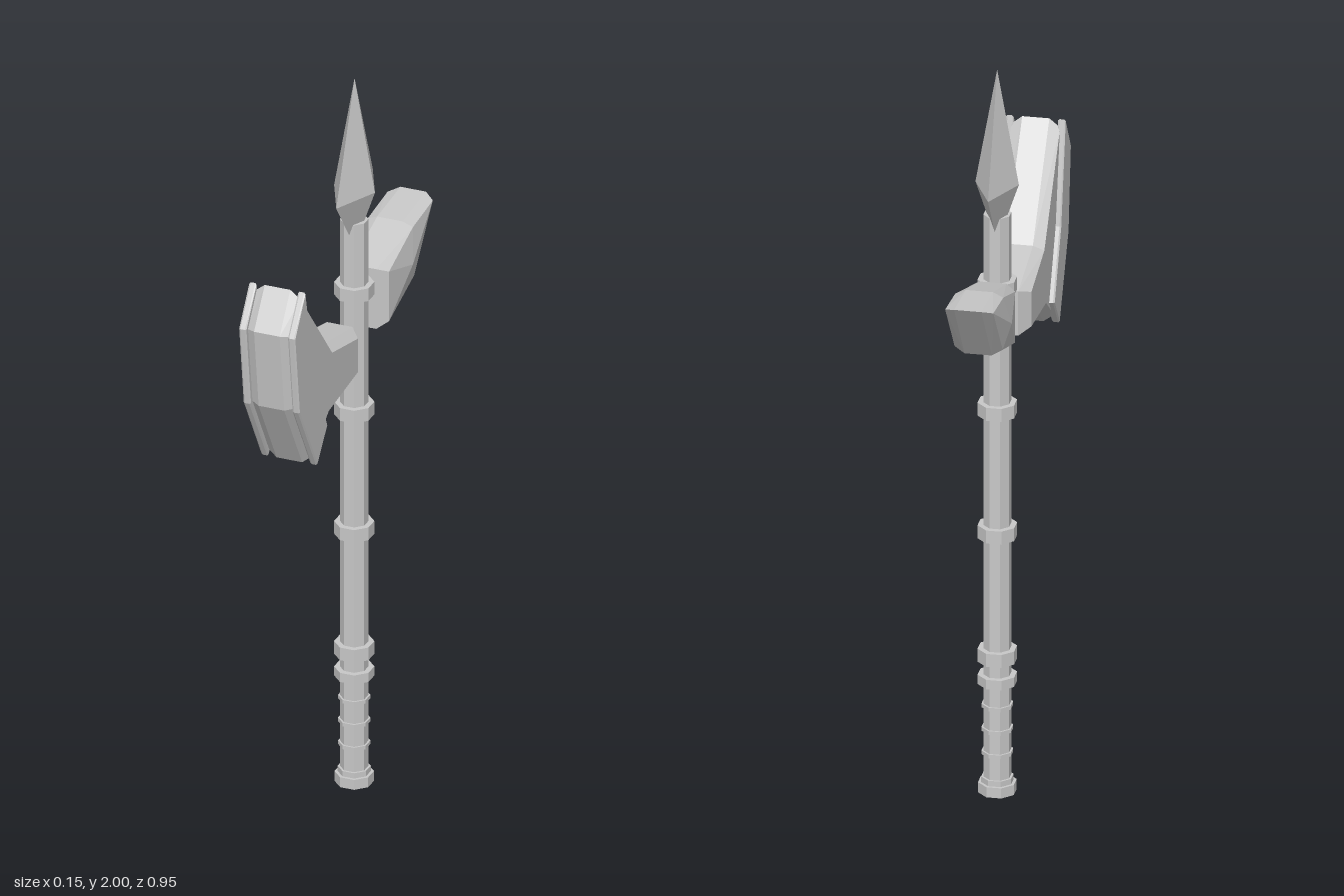
import * as THREE from 'three';
import { ConvexGeometry } from 'three/addons/geometries/ConvexGeometry.js';

const steel = new THREE.MeshStandardMaterial({ color: 0xc8c8c8, flatShading: true });
steel.name = 'light grey steel';

const POLE_Z = -0.09;

function add(parent, name, geometry) {
  const mesh = new THREE.Mesh(geometry, steel);
  mesh.name = name;
  parent.add(mesh);
  return mesh;
}

// Eight-sided band around the pole, flat side forward
function octagon(parent, name, radius, y0, y1) {
  const g = new THREE.CylinderGeometry(radius, radius, y1 - y0, 8);
  g.rotateY(Math.PI / 8);
  g.translate(0, (y0 + y1) / 2, POLE_Z);
  return add(parent, name, g);
}

// Side profile of [z, y] points, extruded across x with chamfered rims
function slab(points, x0, x1, inset, chamfer) {
  const shape = new THREE.Shape(points.map(([z, y]) => new THREE.Vector2(z, y)));
  const g = new THREE.ExtrudeGeometry(shape, {
    depth: x1 - x0 - 2 * chamfer, bevelEnabled: true, bevelSegments: 1,
    bevelThickness: chamfer, bevelSize: inset, bevelOffset: -inset,
  });
  g.rotateY(-Math.PI / 2);
  g.translate(x1 - chamfer, 0, 0);
  return g;
}

export function createModel() {
  const model = new THREE.Group();
  model.name = 'poleaxe';

  // Pole, collars and grip ridges
  octagon(model, 'pole', 0.036, 0.01, 1.6);
  octagon(model, 'pommel', 0.05, 0, 0.028);
  octagon(model, 'pommelRim', 0.042, 0.028, 0.043);
  for (const y of [0.313, 0.38, 0.722, 1.062, 1.403]) {
    const h = y < 0.35 ? 0.013 : 0.018;
    octagon(model, 'collar', 0.051, y - h, y + h);
  }
  for (const y of [0.11, 0.175, 0.24]) octagon(model, 'gripRidge', 0.041, y - 0.005, y + 0.005);

  // Four-sided spear point
  const spear = new THREE.Group();
  spear.name = 'spearPoint';
  const upper = new THREE.ConeGeometry(1, 0.315, 4, 1, true);
  upper.translate(0, 0.1575, 0);
  const lower = new THREE.ConeGeometry(1, 0.165, 4, 1, true);
  lower.rotateX(Math.PI);
  lower.translate(0, -0.0825, 0);
  add(spear, 'spearTip', upper);
  add(spear, 'spearBase', lower);
  spear.scale.set(0.056, 1, 0.119);
  spear.position.set(0, 1.685, POLE_Z - 0.002);
  model.add(spear);

  // Axe head body with its neck; the chamfer is deeper at the neck's end
  const edge = [[0.41, 1.645], [0.48, 1.545], [0.45, 1.32], [0.333, 1.117]];
  const body = slab(
    [...edge, [0.22, 1.202], [0.005, 1.222], [0.005, 1.345], [0.195, 1.387]],
    -0.063, 0.063, 0.016, 0.028);
  const pos = body.attributes.position;
  for (let i = 0; i < pos.count; i++) {
    if (Math.abs(pos.getX(i)) > 0.06 && pos.getZ(i) < 0.05) pos.setZ(i, 0.036);
  }
  body.computeVertexNormals();
  add(model, 'axeBody', body);

  // Raised cutting plates on both sides
  for (const s of [-1, 1]) {
    const [a, b] = s > 0 ? [0.057, 0.077] : [-0.077, -0.057];
    add(model, s > 0 ? 'leftBladePlate' : 'rightBladePlate',
      slab([...edge, [0.265, 1.2], [0.35, 1.375]], a, b, 0.003, 0.004));
  }

  // Rear spike: chamfered rim, sides rising to a shallow peak
  const rim = [[-0.475, 1.5], [-0.323, 1.488], [-0.15, 1.435], [-0.15, 1.265], [-0.34, 1.32]];
  const face = [[-0.455, 1.49], [-0.325, 1.476], [-0.17, 1.424], [-0.17, 1.283], [-0.333, 1.335]];
  const pts = [];
  for (const s of [-1, 1]) {
    for (const [z, y] of rim) pts.push(new THREE.Vector3(s * 0.035, y, z));
    for (const [z, y] of face) pts.push(new THREE.Vector3(s * 0.062, y, z));
    pts.push(new THREE.Vector3(s * 0.077, 1.39, -0.29));
  }
  add(model, 'rearSpike', new ConvexGeometry(pts));

  return model;
}
